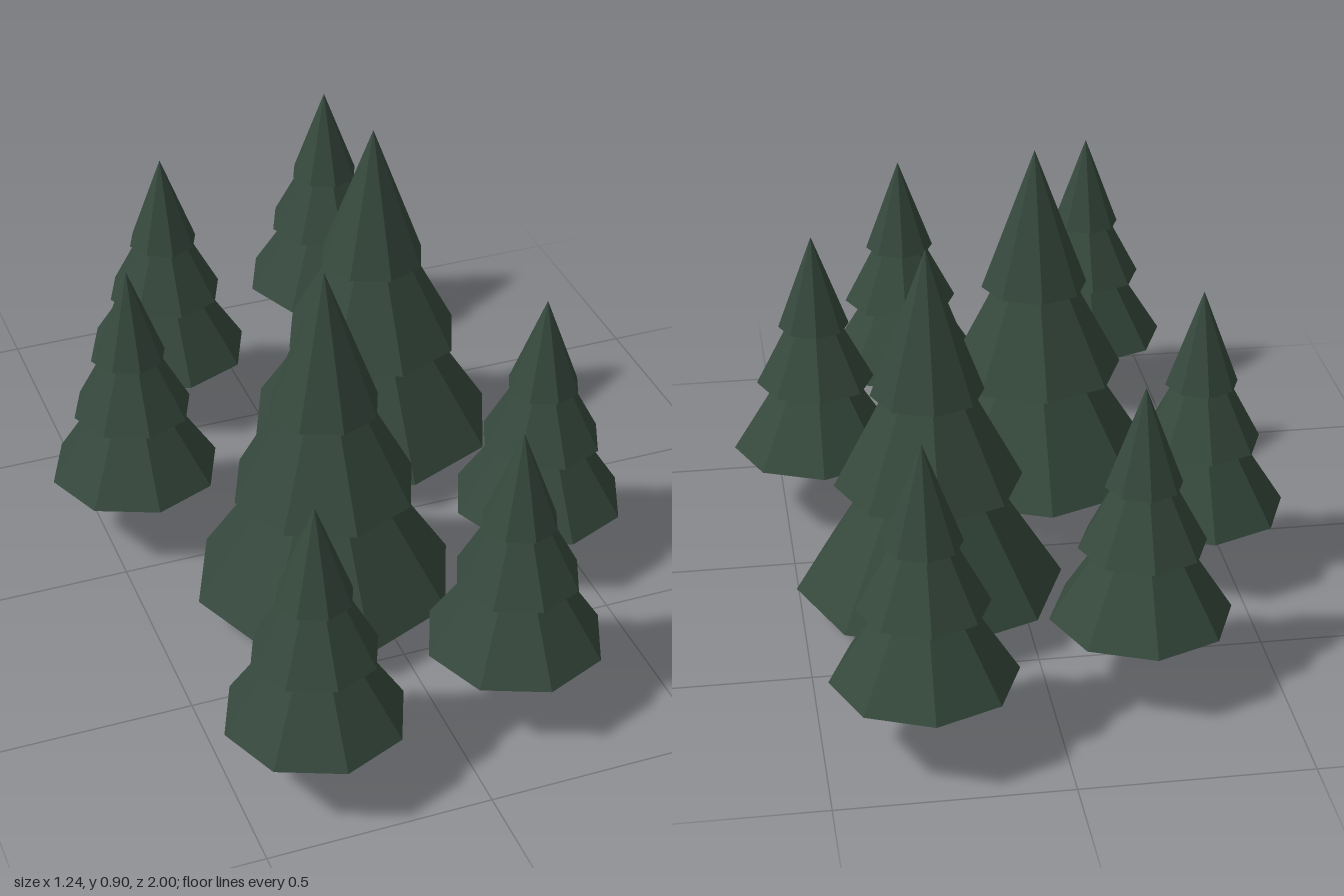
import * as THREE from 'three';

const SIDES = 8;

export function createModel() {
  const needles = new THREE.MeshStandardMaterial({ color: 0x36493d, name: 'darkGreen' });
  const bark = new THREE.MeshStandardMaterial({ color: 0x5c4033, name: 'barkBrown' });

  // faceted copy of a geometry, with its base at y
  const faceted = (geometry, y) => {
    const flat = geometry.toNonIndexed();
    flat.computeVertexNormals();
    return flat.translate(0, y, 0);
  };

  // tiers of a full-size tree: base height, radius, cone height
  const tiers = [
    [0.09, 0.3, 0.474],
    [0.345, 0.21, 0.4],
    [0.56, 0.126, 0.338],
  ];
  const tierGeometries = tiers.map(([y, r, h]) =>
    faceted(new THREE.ConeGeometry(r, h, SIDES), y + h / 2));
  const trunkGeometry = faceted(new THREE.CylinderGeometry(0.033, 0.033, 0.14, SIDES), 0.07);

  const makeTree = (name, x, y, z, scale) => {
    const tree = new THREE.Group();
    tree.name = name;
    const trunk = new THREE.Mesh(trunkGeometry, bark);
    trunk.name = 'trunk';
    tree.add(trunk);
    tierGeometries.forEach((geometry, i) => {
      const tier = new THREE.Mesh(geometry, needles);
      tier.name = ['lowerBranches', 'middleBranches', 'topBranches'][i];
      tree.add(tier);
    });
    tree.position.set(x, y, z);
    tree.scale.setScalar(scale);
    return tree;
  };

  const grove = new THREE.Group();
  grove.name = 'pineGrove';

  // two tall trees in the middle
  [[-0.107, 0.27], [0.213, -0.27]].forEach(([x, z], i) =>
    grove.add(makeTree(`tallTree${i + 1}`, x, 0, z, 1)));

  // six smaller trees around them, on slightly higher ground
  [
    [0.287, -0.802], [-0.2, -0.622], [-0.421, -0.165],
    [0.419, 0.272], [0.167, 0.716], [-0.323, 0.802],
  ].forEach(([x, z], i) =>
    grove.add(makeTree(`smallTree${i + 1}`, x, 0.117, z, 0.662)));

  return grove;
}
